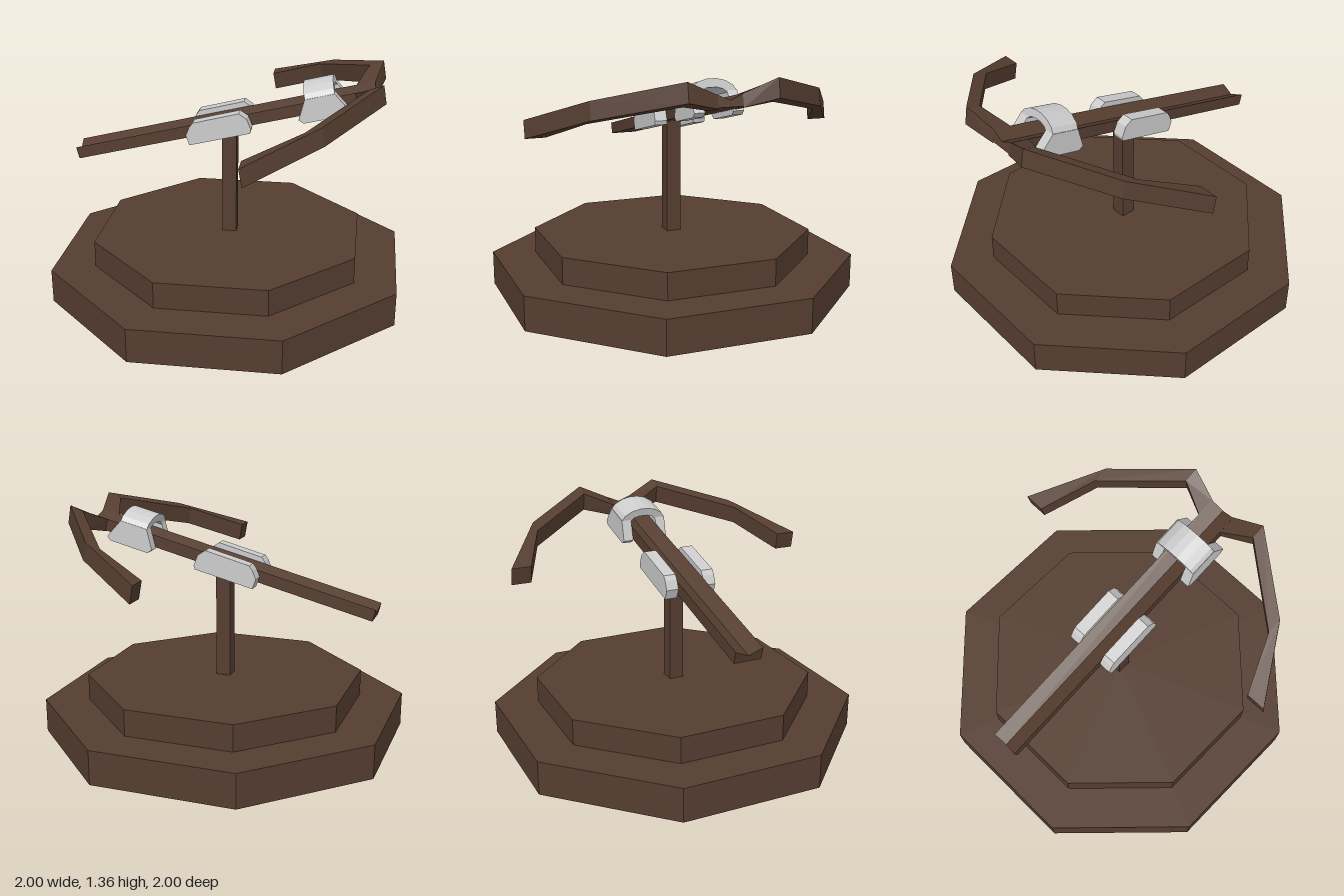
import * as THREE from 'three';

const wood = new THREE.MeshStandardMaterial({ color: 0x553d30, flatShading: true });
const metal = new THREE.MeshStandardMaterial({ color: 0xcccccc, flatShading: true });

function add(parent, name, geometry, material) {
  const mesh = new THREE.Mesh(geometry, material);
  mesh.name = name;
  parent.add(mesh);
  return mesh;
}

// Extrudes an outline in x/y along z, from z0 to z1.
function slab(points, z0, z1) {
  const shape = new THREE.Shape(points.map(([x, y]) => new THREE.Vector2(x, y)));
  return new THREE.ExtrudeGeometry(shape, { depth: z1 - z0, bevelEnabled: false }).translate(0, 0, z0);
}

// Joins four-cornered cross-sections into a closed solid; flip reverses the winding.
function loft(sections, flip) {
  const index = [];
  const quad = (a, b, c, d) => index.push(...(flip ? [a, c, b, a, d, c] : [a, b, c, a, c, d]));
  for (let s = 0; s < sections.length - 1; s++) {
    for (let i = 0; i < 4; i++) {
      const j = (i + 1) % 4;
      quad(s * 4 + i, s * 4 + j, s * 4 + 4 + j, s * 4 + 4 + i);
    }
  }
  const e = (sections.length - 1) * 4;
  quad(3, 2, 1, 0);
  quad(e, e + 1, e + 2, e + 3);
  const geometry = new THREE.BufferGeometry();
  geometry.setAttribute('position', new THREE.Float32BufferAttribute(sections.flat(2), 3));
  geometry.setIndex(index);
  const flat = geometry.toNonIndexed();
  flat.computeVertexNormals();
  return flat;
}

// Octagonal tier with flat sides on the axes.
function tier(parent, name, apothem, y0, y1) {
  const r = apothem / Math.cos(Math.PI / 8);
  const geometry = new THREE.CylinderGeometry(r, r, y1 - y0, 8).rotateY(Math.PI / 8);
  add(parent, name, geometry, wood).position.y = (y0 + y1) / 2;
}

export function createModel() {
  const model = new THREE.Group();
  model.name = 'ballista';

  // Stepped base and post
  tier(model, 'lowerBase', 1, 0, 0.2);
  tier(model, 'upperBase', 0.76, 0.2, 0.355);
  add(model, 'post', new THREE.BoxGeometry(0.085, 0.67, 0.085), wood).position.y = 0.685;

  // Tilted assembly: its origin lies on the stock's top edge above the post
  const tilted = new THREE.Group();
  tilted.name = 'stockAssembly';
  tilted.position.y = 1.08;
  tilted.rotation.z = 0.245;
  model.add(tilted);

  // Stock with a V-shaped bolt groove, extruded along its length
  const stock = slab([[-0.08, -0.07], [0.08, -0.07], [0.08, 0], [0, -0.035], [-0.08, 0]], -0.844, 0.937);
  add(tilted, 'stock', stock.rotateY(-Math.PI / 2), wood);

  // Pivot cheek plates and front bracket plates, one on each side
  const cheek = [[-0.245, -0.095], [0.115, -0.095], [0.126, -0.073], [0.116, -0.008],
    [0.08, 0.032], [-0.194, 0.03], [-0.22, 0.008], [-0.251, -0.035]];
  const bracket = [[0.423, -0.1], [0.666, -0.1], [0.691, -0.08], [0.628, 0.035], [0.458, 0.035], [0.4, -0.075]];
  for (const side of [1, -1]) {
    const span = (a, b) => (side > 0 ? [a, b] : [-b, -a]);
    add(tilted, 'pivotCheek', slab(cheek, ...span(0.08, 0.152)), metal);
    add(tilted, 'bracketPlate', slab(bracket, ...span(0.08, 0.14)), metal);
  }

  // Arch bridging the groove between the bracket plates
  const half = [[0.14, 0.03], [0.12, 0.063], [0.075, 0.09], [0.025, 0.102]];
  const inner = [[0.025, 0.055], [0.06, 0.045], [0.08, 0.025]];
  const mirror = (pts) => pts.map(([z, y]) => [-z, y]).reverse();
  const arch = slab([...half, ...mirror(half), ...mirror(inner), ...inner], -0.628, -0.458);
  add(tilted, 'bracketArch', arch.rotateY(-Math.PI / 2), metal);

  // Swept bow arms: [outer x, outer z, outer y, inner x, inner z, inner y, depth]
  const stations = [
    [0.82, 0.07, 1.28, 0.71, 0.07, 1.253, 0.07],
    [0.865, 0.25, 1.36, 0.785, 0.25, 1.33, 0.105],
    [0.56, 0.66, 1.245, 0.475, 0.66, 1.215, 0.1],
    [0.17, 0.915, 1.1, 0.17, 0.8, 1.1, 0.1],
  ];
  for (const side of [1, -1]) {
    const sections = stations.map(([ox, oz, oy, ix, iz, iy, d]) => [
      [ox, oy, side * oz],
      [ix, iy, side * iz],
      [ix + 0.018, iy - d, side * iz],
      [ox + 0.018, oy - d, side * oz],
    ]);
    add(model, side > 0 ? 'frontBowArm' : 'backBowArm', loft(sections, side < 0), wood);
  }
  return model;
}
